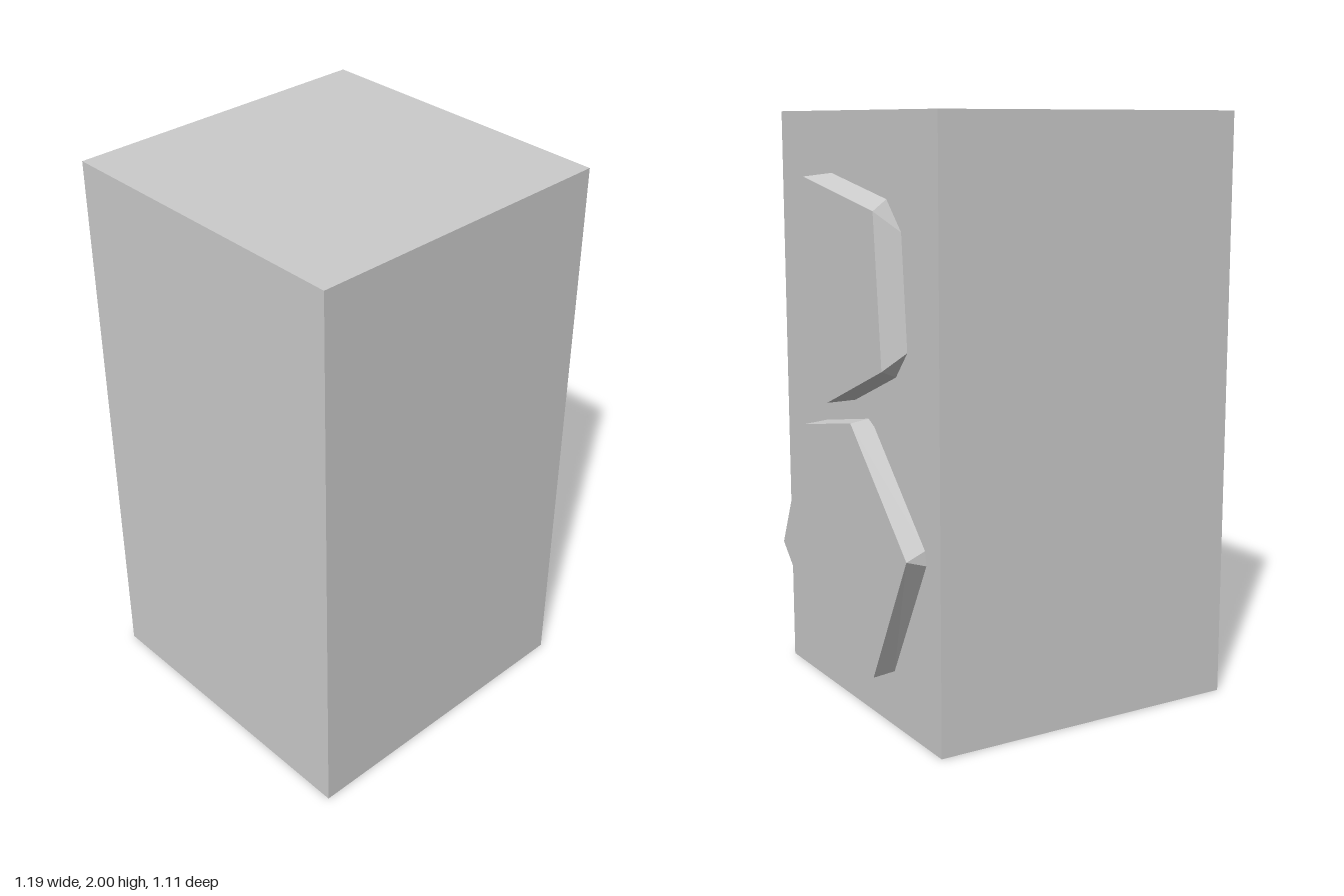
import * as THREE from 'three';

const WALL = 0.517;

// Each corner: [z, y] of the face, then the two [z, y] points where its bevel meets the wall.
const upper = [
  [[0.21, 1.785], [0.235, 1.75], [0.16, 1.797]],
  [[-0.292, 1.695], [-0.23, 1.727], [-0.325, 1.63]],
  [[-0.337, 1.205], [-0.357, 1.26], [-0.28, 1.173]],
  [[0.06, 1.045], [0.01, 1.056], [0.085, 1.053]],
  [[0.372, 1.295], [0.366, 1.285], [0.365, 1.36]],
];
const lower = [
  [[0.252, 0.94], [0.265, 0.925], [0.235, 0.95]],
  [[-0.1, 1.002], [-0.085, 1.008], [-0.125, 0.988]],
  [[-0.475, 0.63], [-0.46, 0.652], [-0.468, 0.605]],
  [[-0.24, 0.18], [-0.247, 0.19], [-0.215, 0.178]],
  [[0.11, 0.125], [0.09, 0.132], [0.135, 0.13]],
  [[0.463, 0.47], [0.458, 0.435], [0.458, 0.5]],
];

// Raised polygonal plate with bevelled corners on the side wall
function createPlate(name, corners, faceX, material) {
  const positions = [];
  const triangle = (...points) => points.forEach((p) => positions.push(...p));
  const ring = corners.map(([face, before, after]) => ({
    face: [faceX, face[1], face[0]],
    before: [WALL, before[1], before[0]],
    after: [WALL, after[1], after[0]],
  }));
  ring.forEach((p, i) => {
    const q = ring[(i + 1) % ring.length];
    triangle(ring[0].face, q.face, p.face); // flat face
    triangle(p.face, p.after, p.before); // corner facet
    triangle(p.face, q.face, q.before); // side
    triangle(p.face, q.before, p.after);
  });
  const geometry = new THREE.BufferGeometry();
  geometry.setAttribute('position', new THREE.Float32BufferAttribute(positions, 3));
  geometry.computeVertexNormals();
  const mesh = new THREE.Mesh(geometry, material);
  mesh.name = name;
  return mesh;
}

export function createModel() {
  const group = new THREE.Group();
  group.name = 'blockWithPlates';
  const material = new THREE.MeshStandardMaterial({ color: 0xcccccc, flatShading: true });

  // Upright block
  const block = new THREE.Mesh(new THREE.BoxGeometry(WALL + 0.597, 2, 1.114), material);
  block.name = 'block';
  block.position.set((WALL - 0.597) / 2, 1, 0);
  group.add(block);

  // Plates on the side wall
  group.add(createPlate('upperPlate', upper, 0.597, material));
  group.add(createPlate('lowerPlate', lower, 0.591, material));
  return group;
}
